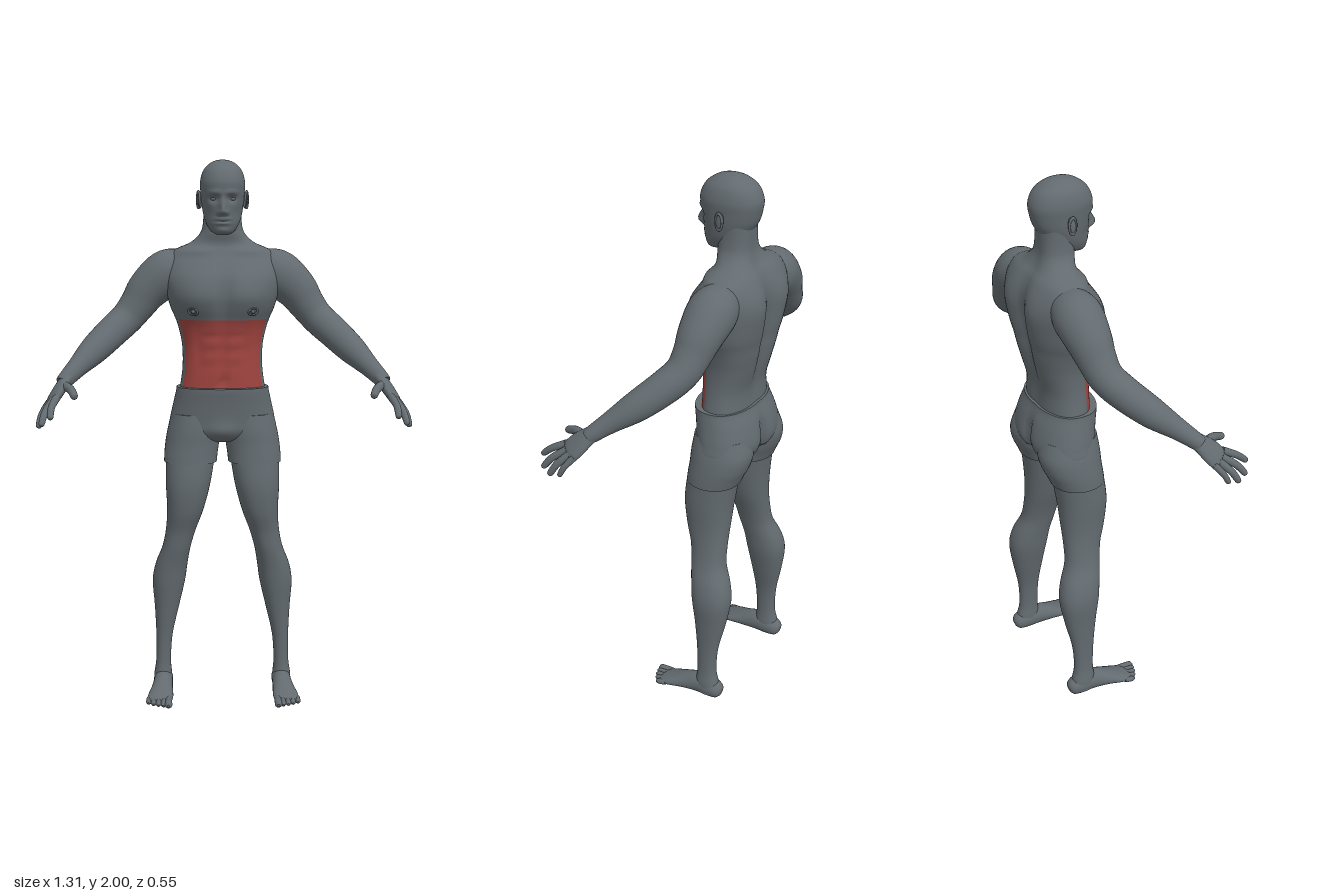
import * as THREE from 'three';

const V3 = (x, y, z) => new THREE.Vector3(x, y, z);
const bump = (d, w) => Math.exp(-(d / w) * (d / w));
const sp = (c, n) => Math.sign(c) * Math.pow(Math.abs(c), 2 / n);

// Smooth in-between rows for a short table of key rows
function refine(rows, per) {
  const out = [], n = rows.length;
  const at = i => rows[Math.min(n - 1, Math.max(0, i))];
  for (let i = 0; i < n - 1; i++) for (let k = 0; k < per; k++) {
    const t = k / per, a = at(i - 1), b = at(i), c = at(i + 1), d = at(i + 2);
    out.push(b.map((q, m) => {
      const cubic = 3 * (q - c[m]) + d[m] - a[m];
      const square = 2 * a[m] - 5 * q + 4 * c[m] - d[m];
      return q + 0.5 * t * (c[m] - a[m] + t * (square + t * cubic));
    }));
  }
  out.push(rows[n - 1]);
  return out;
}

// Closed skin over a stack of rings; accent(ring, next ring, column) picks the second material
function skin(rings, accent) {
  const n = rings[0].length, pos = [], main = [], second = [];
  const add = p => pos.push(p.x, p.y, p.z) / 3 - 1;
  rings.forEach(r => r.forEach(add));
  for (let i = 0; i < rings.length - 1; i++) for (let j = 0; j < n; j++) {
    const a = i * n + j, b = i * n + (j + 1) % n;
    (accent && accent(rings[i], rings[i + 1], j) ? second : main).push(a, a + n, b, b, a + n, b + n);
  }
  [rings[0], rings[rings.length - 1]].forEach((r, end) => {
    const mid = V3(0, 0, 0);
    r.forEach(p => mid.addScaledVector(p, 1 / n));
    const c = add(mid), first = c + 1;
    r.forEach(add);
    for (let j = 0; j < n; j++) {
      const p = first + j, q = first + (j + 1) % n;
      main.push(...(end ? [c, q, p] : [c, p, q]));
    }
  });
  const g = new THREE.BufferGeometry();
  g.setAttribute('position', new THREE.Float32BufferAttribute(pos, 3));
  g.setIndex(main.concat(second));
  if (accent) {
    g.addGroup(0, main.length, 0);
    g.addGroup(main.length, second.length, 1);
  }
  g.computeVertexNormals();
  return g;
}

// Horizontal sections, bottom to top: [y, centre x, half width, front z, back z]
function loft(rows, { per = 5, segs = 40, n = 2.2, shape, accent } = {}) {
  return skin(refine(rows, per).map(([y, cx, hw, zf, zb]) =>
    Array.from({ length: segs }, (_, j) => {
      const a = j / segs * Math.PI * 2;
      const p = V3(cx + hw * sp(Math.cos(a), n), y, (zf + zb) / 2 + (zf - zb) / 2 * sp(Math.sin(a), n));
      if (shape) shape(p, Math.sin(a));
      return p;
    })), accent);
}

// Tapered limb: [x, y, z, radius, radius along ref]
function limb(rows, ref = V3(0, 1, 0), per = 5, segs = 24) {
  const pts = refine(rows, per), at = i => V3(...pts[i].slice(0, 3));
  return skin(pts.map((row, i) => {
    const T = at(Math.min(i + 1, pts.length - 1)).sub(at(Math.max(i - 1, 0))).normalize();
    const V = ref.clone().addScaledVector(T, -ref.dot(T)).normalize();
    const U = T.clone().cross(V);
    return Array.from({ length: segs }, (_, j) => {
      const a = j / segs * Math.PI * 2;
      return at(i).addScaledVector(U, row[3] * Math.cos(a)).addScaledVector(V, (row[4] ?? row[3]) * Math.sin(a));
    });
  }));
}

export function createModel() {
  const model = new THREE.Group();
  const grey = new THREE.MeshStandardMaterial({ color: 0x636b70 });
  grey.name = 'slate grey';
  const red = new THREE.MeshStandardMaterial({ color: 0xa0443f });
  red.name = 'muted red';
  const add = (name, geometry, material = grey) => {
    const m = new THREE.Mesh(geometry, material);
    m.name = name;
    model.add(m);
    return m;
  };
  const ball = (name, p, s) => {
    const m = add(name, new THREE.SphereGeometry(1, 20, 14));
    m.position.set(...p);
    m.scale.set(...s);
    return m;
  };

  // Torso and neck, with chest, spine and stomach relief and a red stomach panel
  add('torso', loft([
    [1.16, 0, .158, -.035, -.212], [1.175, 0, .157, -.037, -.212], [1.25, 0, .147, -.036, -.213],
    [1.33, 0, .148, -.034, -.235], [1.39, 0, .16, -.028, -.25], [1.43, 0, .173, -.018, -.257],
    [1.47, 0, .19, -.004, -.265], [1.52, 0, .204, .006, -.27], [1.58, 0, .214, -.004, -.272],
    [1.63, 0, .207, -.033, -.262], [1.675, 0, .178, -.066, -.24], [1.705, 0, .115, -.076, -.215],
    [1.74, 0, .08, -.07, -.198], [1.78, 0, .07, -.07, -.192], [1.84, 0, .068, -.08, -.19],
  ], {
    segs: 64, n: 2.3,
    shape: (p, s) => {
      const x = Math.abs(p.x), y = p.y;
      if (s > .1) {
        p.z += .014 * bump(x - .09, .07) * bump(y - 1.51, .07) - .013 * bump(x, .018) * bump(y - 1.53, .09);
        p.z -= .008 * bump(x, .011) * bump(y - 1.31, .11) + .014 * bump(x, .01) * bump(y - 1.205, .014);
        for (const h of [1.26, 1.315, 1.37]) p.z -= .005 * bump(x - .04, .035) * bump(y - h, .01);
        p.z -= .006 * bump(x - .085, .014) * bump(y - 1.31, .08);
        p.z += .01 * bump(x - .1, .08) * bump(y - 1.675, .014);
      } else if (s < -.1) {
        p.z += .032 * bump(x, .035) * bump(y - 1.48, .2) - .01 * bump(x - .09, .05) * bump(y - 1.57, .08);
      }
    },
    accent: (a, b, j) => j >= 4 && j < 28 && a[0].y > 1.17 && b[0].y < 1.4301,
  }), [grey, red]);

  // Head, with brow, sockets, nose, lips and chin shaped in
  add('head', loft([
    [1.734, 0, .018, -.035, -.065], [1.745, 0, .04, -.022, -.1], [1.77, 0, .057, -.014, -.14],
    [1.8, 0, .068, -.01, -.172], [1.84, 0, .075, -.006, -.2], [1.88, 0, .079, 0, -.213],
    [1.92, 0, .081, .004, -.217], [1.96, 0, .07, -.014, -.2], [1.985, 0, .048, -.045, -.168],
    [1.996, 0, .026, -.075, -.138], [2, 0, .006, -.1, -.112],
  ], {
    per: 8, segs: 96,
    shape: (p, s) => {
      if (s < .1) return;
      const x = Math.abs(p.x), y = p.y;
      const bridge = y > 1.817 ? bump(y - 1.817, .038) : bump(y - 1.817, .011);
      p.z += .034 * bridge * bump(x, .012) + .012 * bump(x - .013, .008) * bump(y - 1.813, .009);
      p.z += .007 * bump(x - .03, .028) * bump(y - 1.884, .01) - .013 * bump(x - .032, .017) * bump(y - 1.862, .013);
      p.z += bump(x, .024) * (.009 * bump(y - 1.791, .006) + .008 * bump(y - 1.775, .006) - .004 * bump(y - 1.783, .003));
      p.z += .007 * bump(x, .022) * bump(y - 1.75, .012) - .006 * bump(x - .055, .02) * bump(y - 1.81, .025);
    },
  }));

  // Shorts: hips with a seat crease
  add('shortsHips', loft([
    [.975, 0, .07, -.085, -.165], [.99, 0, .15, -.05, -.225], [1.02, 0, .197, -.03, -.25], [1.06, 0, .194, -.025, -.256],
    [1.12, 0, .181, -.018, -.242], [1.165, 0, .171, -.011, -.224], [1.18, 0, .169, -.01, -.22],
  ], {
    segs: 64, n: 2.3,
    shape: (p, s) => {
      if (s < 0) p.z += .04 * bump(p.x, .02) * bump(p.y - 1.03, .08);
      else p.z += .012 * bump(p.x, .04) * bump(p.y - 1.02, .035);
    },
  }));

  for (const s of [1, -1]) {
    const side = s > 0 ? 'left' : 'right';
    const flip = rows => rows.map(([x, ...rest]) => [x * s, ...rest]);
    const column = rows => rows.map(([y, x, ...rest]) => [y, x * s, ...rest]);

    // Face and chest details
    ball(side + 'Eye', [s * .032, 1.862, -.028], [.013, .008, .01]);
    ball(side + 'Ear', [s * .081, 1.857, -.106], [.009, .031, .018]).rotation.set(-.2, s * -.35, 0);
    const rim = add(side + 'EarRim', new THREE.TorusGeometry(.021, .0045, 8, 24));
    rim.position.set(s * .087, 1.858, -.107);
    rim.rotation.y = s * (Math.PI / 2 - .3);
    rim.scale.set(.75, 1.35, 1);
    const areola = add(side + 'Areola', new THREE.TorusGeometry(.018, .004, 8, 24));
    areola.position.set(s * .108, 1.462, -.013);
    areola.rotation.set(.25, s * .45, 0);
    areola.scale.y = .7;
    ball(side + 'Nipple', [s * .108, 1.462, -.012], [.007, .007, .008]);

    // Shorts leg and bare leg
    add(side + 'ShortsLeg', loft(column([
      [.9, .119, .098, -.018, -.212], [.93, .117, .099, -.021, -.225], [.97, .112, .1, -.025, -.243],
      [1.02, .105, .098, -.027, -.252], [1.08, .1, .085, -.035, -.235],
    ]), { n: 2.1 }));
    add(side + 'Leg', loft(column([
      [.02, .227, .033, -.11, -.203], [.06, .227, .034, -.107, -.198], [.12, .225, .028, -.112, -.186],
      [.22, .221, .031, -.108, -.191], [.33, .211, .046, -.095, -.214], [.43, .203, .061, -.08, -.229],
      [.5, .192, .06, -.071, -.218], [.57, .173, .053, -.058, -.191], [.64, .156, .056, -.047, -.185],
      [.72, .139, .068, -.023, -.186], [.82, .128, .083, -.011, -.193], [.93, .119, .092, -.024, -.208],
    ])));

    // Foot and toes
    add(side + 'Foot', limb(flip([
      [.226, .03, -.212, .016, .014], [.226, .033, -.2, .03, .029], [.226, .04, -.165, .04, .036],
      [.226, .042, -.115, .041, .036], [.229, .033, -.06, .032, .04], [.234, .023, -.01, .021, .047],
      [.238, .016, .025, .014, .046], [.238, .013, .04, .008, .04],
    ]), V3(1, 0, 0)));
    for (let i = 0; i < 5; i++) {
      const x = .203 + i * .0185, r = i ? .0095 : .0135, tip = [.08, .077, .071, .061, .048][i];
      add(side + 'Toe' + (i + 1), limb(flip([
        [x, .018, .005, r * .9], [x + .001, .016, tip - .03, r], [x + .001, .013, tip - .009, r], [x + .001, .012, tip, r * .35],
      ]), V3(1, 0, 0), 4, 14));
    }

    // Shoulder to wrist
    add(side + 'Arm', limb(flip([
      [.1, 1.625, -.165, .05], [.15, 1.612, -.16, .072], [.205, 1.59, -.155, .086], [.27, 1.535, -.15, .077],
      [.31, 1.48, -.143, .066], [.35, 1.43, -.13, .06], [.4, 1.385, -.092, .058], [.465, 1.325, -.025, .052],
      [.52, 1.272, .042, .037], [.56, 1.232, .09, .029], [.568, 1.222, .1, .026],
    ]), V3(0, 1, 0), 5, 32));

    // Palm, fingers and thumb
    const across = V3(s * .035, -.025, -.06).normalize();
    add(side + 'Palm', limb(flip([
      [.548, 1.243, .077, .021, .027], [.565, 1.222, .103, .021, .033], [.583, 1.195, .13, .02, .042],
      [.6, 1.168, .153, .017, .043], [.607, 1.156, .164, .008, .037],
    ]), across));
    const fingers = [
      ['Index', [.585, 1.18, .18], [.598, 1.155, .23], [.6, 1.12, .272]],
      ['Middle', [.6, 1.168, .166], [.622, 1.135, .213], [.634, 1.092, .248]],
      ['Ring', [.609, 1.16, .15], [.635, 1.125, .185], [.647, 1.08, .213]],
      ['Little', [.616, 1.158, .128], [.638, 1.125, .153], [.646, 1.088, .172]],
      ['Thumb', [.562, 1.215, .125], [.535, 1.208, .175], [.517, 1.188, .226]],
    ];
    fingers.forEach(([name, a, b, c], i) => {
      const r = i === 4 ? .015 : i === 3 ? .0105 : .0125;
      const near = b.map((q, k) => q + (c[k] - q) * .85);
      add(side + name + 'Finger', limb(flip([
        [...a, r * 1.15], [...b, r], [...near, r * .85], [...c, r * .3],
      ]), across, 5, 14));
    });
  }
  return model;
}
